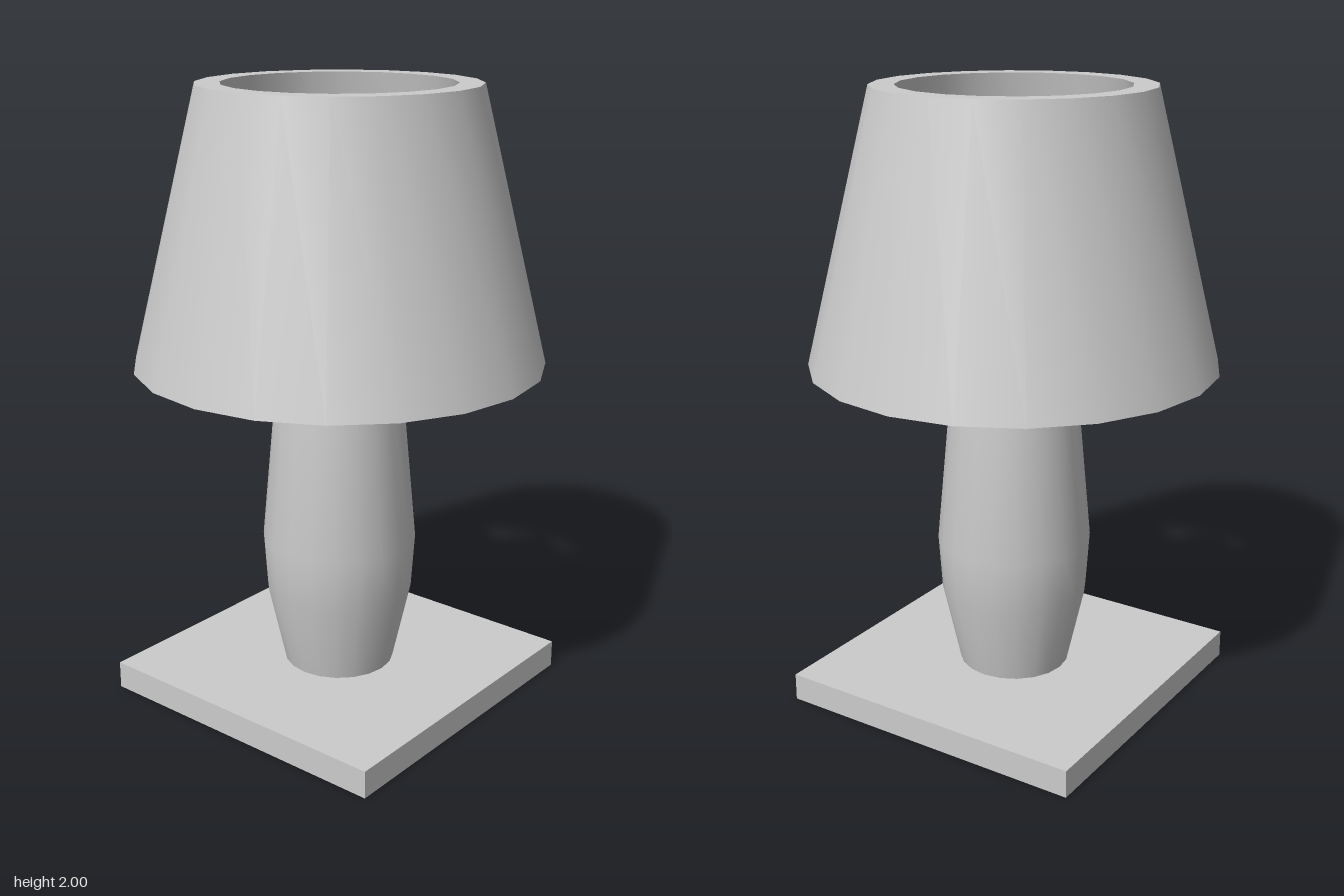
import * as THREE from 'three';
import { toCreasedNormals } from 'three/addons/utils/BufferGeometryUtils.js';

const SIDES = 20;
const material = new THREE.MeshStandardMaterial({ color: 0xcccccc });

function part(name, geometry) {
  const mesh = new THREE.Mesh(geometry, material);
  mesh.name = name;
  return mesh;
}

// Turned part from [radius, height] pairs, listed bottom to top on the outside
function turned(name, profile, crease = 0.6) {
  const points = profile.map(([r, y]) => new THREE.Vector2(r, y));
  return part(name, toCreasedNormals(new THREE.LatheGeometry(points, SIDES), crease));
}

export function createModel() {
  const lamp = new THREE.Group();
  lamp.name = 'tableLamp';

  // Square foot
  const base = part('base', new THREE.BoxGeometry(1.05, 0.09, 1.05));
  base.position.y = 0.045;
  lamp.add(base);

  // Vase-shaped stem
  lamp.add(turned('stem', [
    [0, 0.08], [0.18, 0.08], [0.24, 0.35], [0.252, 0.53], [0.197, 1.13], [0.175, 1.37], [0, 1.37],
  ]));

  // Collar around the bulb
  lamp.add(turned('collar', [[0, 1.36], [0.175, 1.36], [0.175, 1.41], [0, 1.41]]));

  // Diagonal arms that carry the shade
  for (const side of [1, -1]) {
    const arm = part('shadeArm', new THREE.BoxGeometry(0.33, 0.03, 0.15));
    const d = side * 0.315 * Math.SQRT1_2;
    arm.position.set(d, 1.395, d);
    arm.rotation.y = -Math.PI / 4;
    lamp.add(arm);
  }

  // Round bulb
  lamp.add(turned('bulb', [
    [0.1, 1.40], [0.135, 1.45], [0.152, 1.51], [0.142, 1.57], [0.11, 1.62], [0.06, 1.65], [0, 1.655],
  ], 0.9));

  // Thick-walled tapered shade, open at both ends
  lamp.add(turned('shade', [
    [0.535, 1.13], [0.655, 1.13], [0.44, 2], [0.362, 2], [0.535, 1.13],
  ]));

  return lamp;
}
